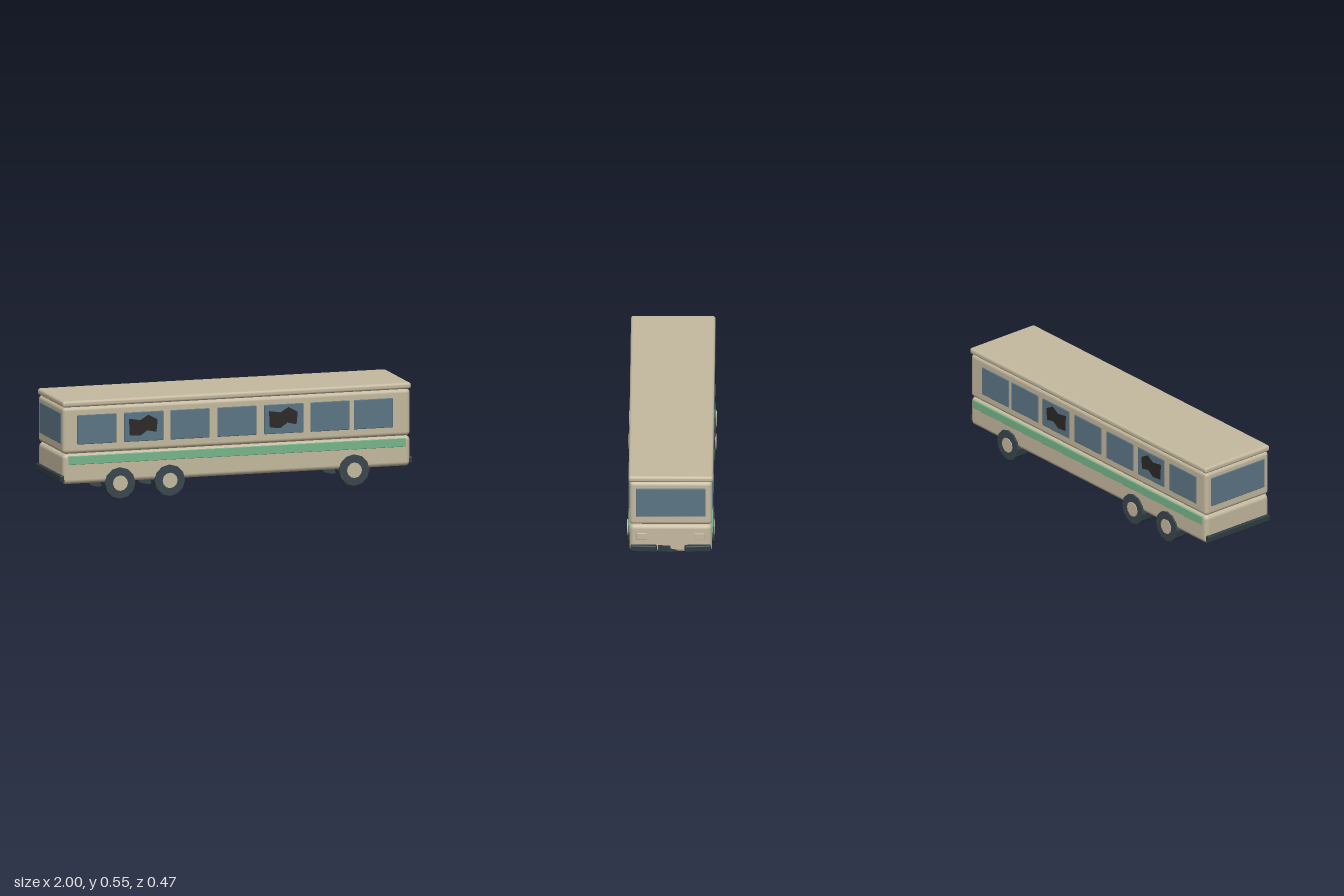
import * as THREE from 'three';
import { RoundedBoxGeometry } from 'three/addons/geometries/RoundedBoxGeometry.js';

const paint = (color, flatShading = false) => new THREE.MeshStandardMaterial({ color, flatShading });

export function createModel() {
  const bus = new THREE.Group();
  bus.name = 'bus';
  const tan = paint(0xc4b99f), glass = paint(0x5b7584), green = paint(0x78b48b);
  const rubber = paint(0x38454d, true), dark = paint(0x2f3c43), hole = paint(0x2b2927);

  const add = (name, geometry, material, x = 0, y = 0, z = 0) => {
    const mesh = new THREE.Mesh(geometry, material);
    mesh.name = name;
    mesh.position.set(x, y, z);
    bus.add(mesh);
    return mesh;
  };
  // Rounded block given by its extents
  const block = (name, material, [x0, x1], [y0, y1], [z0, z1], radius, segments = 3) =>
    add(name, new RoundedBoxGeometry(x1 - x0, y1 - y0, z1 - z0, segments, radius), material,
      (x0 + x1) / 2, (y0 + y1) / 2, (z0 + z1) / 2);
  // Thin plate cut from an outline
  const plate = (points, depth) => new THREE.ExtrudeGeometry(
    new THREE.Shape(points.map(([x, y]) => new THREE.Vector2(x, y))),
    { depth, bevelEnabled: false });

  // Body shells and roof
  block('lowerBody', tan, [-0.984, 0.976], [0.09, 0.255], [-0.222, 0.222], 0.025);
  block('upperBody', tan, [-0.984, 0.976], [0.255, 0.511], [-0.222, 0.222], 0.022);
  block('roof', tan, [-0.987, 0.979], [0.51, 0.545], [-0.227, 0.227], 0.014);

  // Side windows, stripe and broken panes
  const shard = [[-0.085, 0.432], [-0.02, 0.422], [0.025, 0.449], [0.077, 0.42],
    [0.07, 0.353], [0.018, 0.364], [-0.02, 0.337], [-0.08, 0.342]];
  const windowX = [-0.795, -0.53, -0.27, -0.005, 0.26, 0.52, 0.765];
  for (const side of [1, -1]) {
    const zRange = side > 0 ? [0.208, 0.2275] : [-0.2275, -0.208];
    windowX.forEach((x, i) => {
      block('sideWindow', glass, [x - 0.11, x + 0.11], [0.306, 0.466], zRange, 0.004, 1);
      if (i === 1 || i === 4)
        add('brokenGlass', plate(shard, 0.004), hole, x, 0, side > 0 ? 0.2245 : -0.2285);
    });
    block('stripe', green, [-0.955, 0.95], [0.197, 0.244], zRange, 0.003, 1);
  }

  // Windscreen, rear window and headlights
  block('windscreen', glass, [0.96, 0.981], [0.308, 0.475], [-0.187, 0.187], 0.004, 1);
  block('rearWindow', glass, [-0.989, -0.968], [0.308, 0.475], [-0.187, 0.187], 0.004, 1);
  for (const z of [0.156, -0.154])
    block('headlight', tan, [0.96, 0.98], [0.167, 0.207], [z - 0.027, z + 0.027], 0.004, 2);

  // Rear bumper and the broken front bumper
  block('rearBumper', dark, [-1, -0.972], [0.102, 0.139], [-0.216, 0.216], 0.007, 2);
  for (const side of [1, -1]) {
    const half = block('frontBumper', dark, [0.967, 0.993], [0.102, 0.139],
      [side * 0.145 - 0.07, side * 0.145 + 0.07], 0.007, 2);
    half.rotation.y = side * -0.07;
  }
  const scrap = [[-0.068, 0.137], [-0.07, 0.107], [0, 0.102], [0.035, 0.107], [0, 0.116], [0, 0.132]];
  const piece = add('bumperScrap', plate(scrap.reverse(), 0.02), dark, 0.97, 0, 0);
  piece.rotation.y = Math.PI / 2;
  piece.material = paint(0x2f3c43, true);
  piece.material.side = THREE.DoubleSide;

  // Wheels with hubs
  for (const x of [-0.665, -0.385, 0.655]) {
    for (const side of [1, -1]) {
      const tyre = add('tyre', new THREE.CylinderGeometry(0.085, 0.085, 0.079, 12), rubber, x, 0.085, side * 0.193);
      const hub = add('hub', new THREE.CylinderGeometry(0.042, 0.042, 0.02, 12), tan, x, 0.085, side * 0.226);
      tyre.rotation.x = hub.rotation.x = Math.PI / 2;
    }
  }
  return bus;
}
